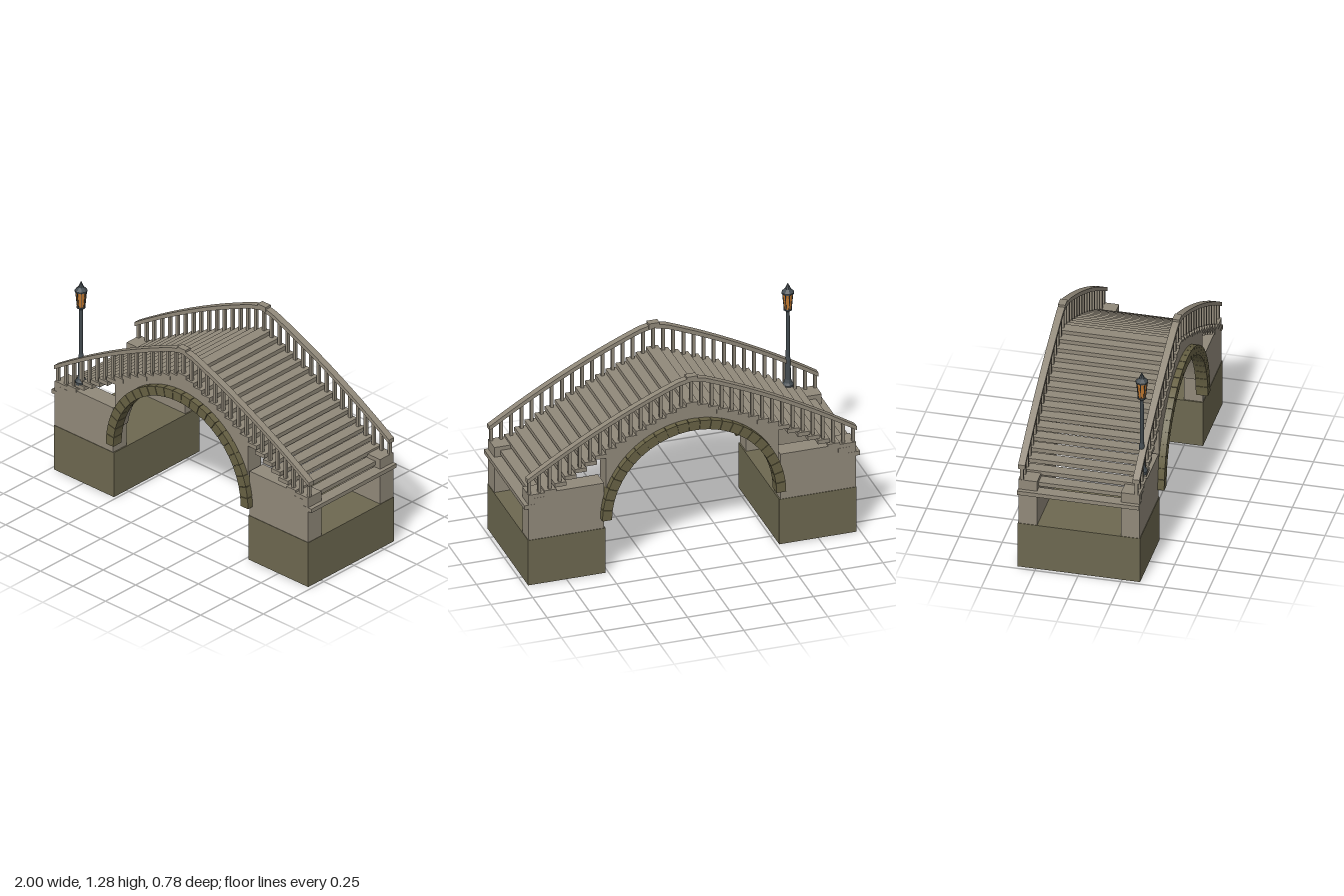
import * as THREE from 'three';

const paint = (name, color) => {
  const m = new THREE.MeshStandardMaterial({ color });
  m.name = name;
  return m;
};

export function createModel() {
  const stone = paint('pale stone', 0x91897a);
  const olive = paint('olive stone', 0x6d6850);
  const archStone = paint('arch stone', 0x676144);
  const iron = paint('dark iron', 0x434b50);
  const glass = paint('amber glass', 0xc47a30);

  const model = new THREE.Group();
  model.name = 'footbridge';

  const add = (parent, name, geometry, material, x = 0, y = 0, z = 0) => {
    const mesh = new THREE.Mesh(geometry, material);
    mesh.name = name;
    mesh.position.set(x, y, z);
    parent.add(mesh);
    return mesh;
  };
  const box = (parent, name, material, x0, x1, y0, y1, z0, z1) =>
    add(parent, name, new THREE.BoxGeometry(x1 - x0, y1 - y0, z1 - z0), material,
      (x0 + x1) / 2, (y0 + y1) / 2, (z0 + z1) / 2);
  const group = (name) => {
    const g = new THREE.Group();
    g.name = name;
    model.add(g);
    return g;
  };
  const extrude = (shape, depth) =>
    new THREE.ExtrudeGeometry(shape, { depth, bevelEnabled: false, curveSegments: 40 });

  // Height of the walkway along the bridge
  const deckY = (x) => 1 - 0.37 * Math.abs(x) - 0.14 * x * x;
  const steps = 16, pitch = 0.0603, treadThick = 0.025;

  // Foundations and side walls
  for (const s of [-1, 1]) {
    const pier = group(s > 0 ? 'leftPier' : 'rightPier');
    const [a, b] = s > 0 ? [0.517, 0.978] : [-0.978, -0.517];
    box(pier, 'foundation', olive, a, b, 0, 0.287, -0.355, 0.355);
    const [c, d] = s > 0 ? [0.525, 0.975] : [-0.975, -0.525];
    for (const [z0, z1] of [[0.243, 0.352], [-0.352, -0.243]])
      box(pier, 'sideWall', stone, c, d, 0.287, 0.575, z0, z1);
  }

  // Treads
  const treads = group('treads');
  for (let j = -steps; j <= steps; j++) {
    const x = j * pitch, y = deckY(x);
    box(treads, 'tread', stone, x - 0.035, x + 0.035, y - treadThick, y, -0.353, 0.353);
  }

  // Stepped wall above the arch
  const spandrel = new THREE.Shape();
  const n = 8, edge = (n + 0.5) * pitch, ringMid = 0.52, springY = 0.35;
  const corner = Math.acos(edge / ringMid);
  spandrel.moveTo(-edge, springY + ringMid * Math.sin(corner));
  for (let j = -n; j <= n; j++) {
    const top = deckY(j * pitch) - treadThick / 2;
    spandrel.lineTo((j - 0.5) * pitch, top);
    spandrel.lineTo((j + 0.5) * pitch, top);
  }
  spandrel.absarc(0, springY, ringMid, corner, Math.PI - corner, false);

  // One wedge-shaped arch stone, centred on angle zero
  const stones = 25, span = Math.PI / stones, half = span * 0.475;
  const wedge = new THREE.Shape();
  wedge.absarc(0, 0, 0.547, -half, half, false);
  wedge.absarc(0, 0, 0.49, half, -half, true);
  const wedgeGeo = new THREE.ExtrudeGeometry(wedge, { depth: 0.07, bevelEnabled: false, curveSegments: 2 });
  const coreShape = new THREE.Shape();
  coreShape.absarc(0, 0, 0.541, 0, Math.PI, false);
  coreShape.absarc(0, 0, 0.496, Math.PI, 0, true);
  const coreGeo = extrude(coreShape, 0.058);

  // Handrail outline, with a flat crown
  const railShape = new THREE.Shape();
  const railTop = (x) => Math.min(deckY(x) + 0.172, 1.16);
  const railPts = [];
  for (let i = -12; i <= 12; i++) railPts.push((i / 12) * 0.98);
  railPts.forEach((x, i) => (i ? railShape.lineTo(x, railTop(x)) : railShape.moveTo(x, railTop(x))));
  railPts.reverse().forEach((x) => railShape.lineTo(x, railTop(x) - 0.026));
  const railGeo = extrude(railShape, 0.04);

  for (const s of [-1, 1]) {
    const side = group(s > 0 ? 'frontSide' : 'backSide');
    add(side, 'spandrelWall', extrude(spandrel, 0.108), stone, 0, 0, s > 0 ? 0.244 : -0.352);

    // Arch ring
    const z = s > 0 ? 0.32 : -0.39;
    add(side, 'archCore', coreGeo, archStone, 0, springY, z + 0.006);
    for (let i = 0; i < stones; i++)
      add(side, 'archStone', wedgeGeo, archStone, 0, springY, z).rotation.z = (i + 0.5) * span;

    // Railing
    add(side, 'handrail', railGeo, stone, 0, 0, s > 0 ? 0.312 : -0.352);
    box(side, 'railCrown', stone, -0.032, 0.032, 1.136, 1.166, s * 0.332 - 0.021, s * 0.332 + 0.021);
    for (let j = -steps; j <= steps; j++) {
      const x = j * pitch;
      box(side, 'baluster', stone, x - 0.009, x + 0.009, deckY(x) - 0.01, railTop(x) - 0.015,
        s * 0.332 - 0.009, s * 0.332 + 0.009);
    }
  }

  // Street lamp
  const lamp = group('lamp');
  lamp.position.set(-0.8, 0, 0.322);
  const lathe = (name, pts, sides, material) => {
    const geo = new THREE.LatheGeometry(pts.map((p) => new THREE.Vector2(...p)), sides).toNonIndexed();
    geo.computeVertexNormals();
    return add(lamp, name, geo, material);
  };
  lathe('lampPost', [[0, 0.615], [0.034, 0.615], [0.034, 0.632], [0.024, 0.645], [0.018, 0.665],
    [0.016, 0.79], [0.012, 0.81], [0.011, 1.097], [0, 1.097]], 12, iron);
  lathe('lanternFloor', [[0, 1.108], [0.026, 1.108], [0.026, 1.116], [0, 1.116]], 8, iron);
  lathe('lanternGlass', [[0, 1.116], [0.021, 1.116], [0.031, 1.217], [0, 1.217]], 8, glass);
  lathe('lanternRoof', [[0, 1.214], [0.037, 1.214], [0.037, 1.222], [0.017, 1.242], [0.014, 1.25],
    [0.007, 1.265], [0, 1.28]], 8, iron);
  const barGeo = new THREE.CylinderGeometry(0.0025, 0.0025, 0.102, 5);
  for (let i = 0; i < 8; i++) {
    const a = (i / 8) * Math.PI * 2;
    const bar = add(lamp, 'lanternBar', barGeo, iron, Math.sin(a) * 0.0265, 1.166, Math.cos(a) * 0.0265);
    bar.rotation.set(0.098, a, 0, 'YXZ');
  }

  return model;
}
